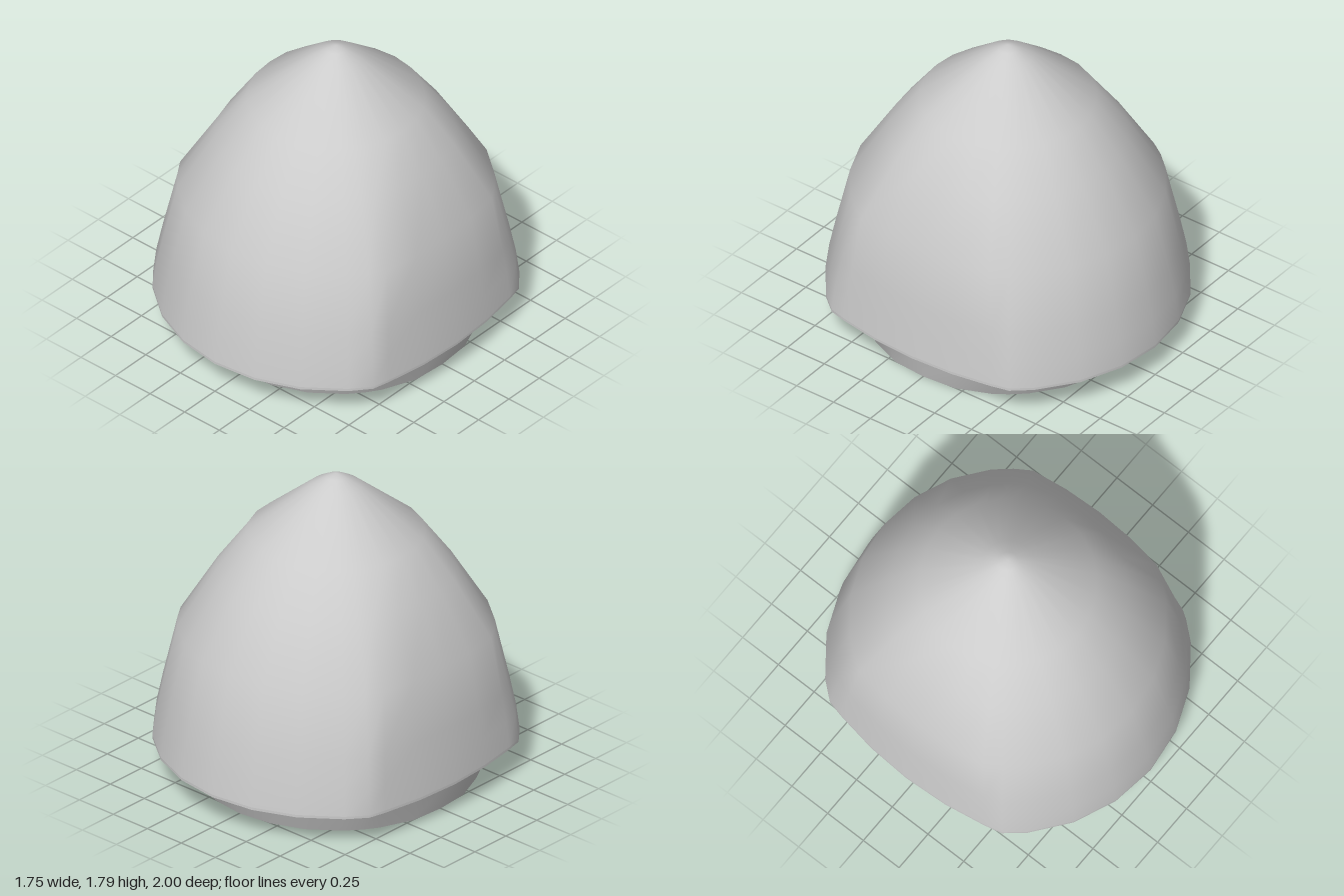
import * as THREE from 'three';
import { toCreasedNormals } from 'three/addons/utils/BufferGeometryUtils.js';

// Angles around one quarter, mirrored to the full outline
const quarter = [0, 15, 30, 45, 53, 60, 75];
const angles = [];
for (let q = 0; q < 4; q++) {
  if (q % 2 === 0) quarter.forEach(a => angles.push(q * 90 + a));
  else [0, 15, 30, 37, 45, 60, 75].forEach(a => angles.push(q * 90 + a));
}

// One ring: a circle whose left and right flanks are cut by a shallow curve
function ring([y, radius, halfWidth]) {
  return angles.map(deg => {
    const a = THREE.MathUtils.degToRad(deg);
    const z = radius * Math.cos(a);
    const limit = Math.max(halfWidth - 0.22 * z * z, 0);
    const x = THREE.MathUtils.clamp(radius * Math.sin(a), -limit, limit);
    return [x, y, z];
  });
}

// Skin rings from bottom to top; rows are [height, radius, half width]
function loft(rows) {
  const n = angles.length;
  const geometry = new THREE.BufferGeometry();
  geometry.setAttribute('position', new THREE.Float32BufferAttribute(rows.map(ring).flat(2), 3));
  const index = [];
  for (let r = 0; r < rows.length - 1; r++) {
    for (let i = 0; i < n; i++) {
      const j = (i + 1) % n;
      const a = r * n + i, b = r * n + j, c = a + n, d = b + n;
      if (rows[r][1] > 0) index.push(a, b, d);
      if (rows[r + 1][1] > 0) index.push(a, d, c);
    }
  }
  geometry.setIndex(index);
  return toCreasedNormals(geometry, 0.8);
}

export function createModel() {
  const group = new THREE.Group();
  const material = new THREE.MeshStandardMaterial({ color: 0xcccccc });
  const add = (name, rows) => {
    const mesh = new THREE.Mesh(loft(rows), material);
    mesh.name = name;
    group.add(mesh);
  };

  // Pointed dome with flattened flanks
  add('dome', [
    [0.2, 1, 0.875], [0.35, 0.98, 0.86], [0.52, 0.945, 0.84], [0.87, 0.865, 0.79],
    [1.21, 0.655, 0.62], [1.44, 0.485, 0.48], [1.72, 0.14, 0.14],
    [1.77, 0.055, 0.055], [1.79, 0, 0],
  ]);

  // Bevelled lip under the dome
  add('rim', [[0.16, 0.85, 0.81], [0.16, 0.95, 0.83], [0.185, 1, 0.875], [0.2, 1, 0.875]]);

  // Tapered foot, closed underneath
  add('foot', [[0, 0, 0], [0, 0.78, 0.77], [0.16, 0.85, 0.81]]);

  return group;
}
